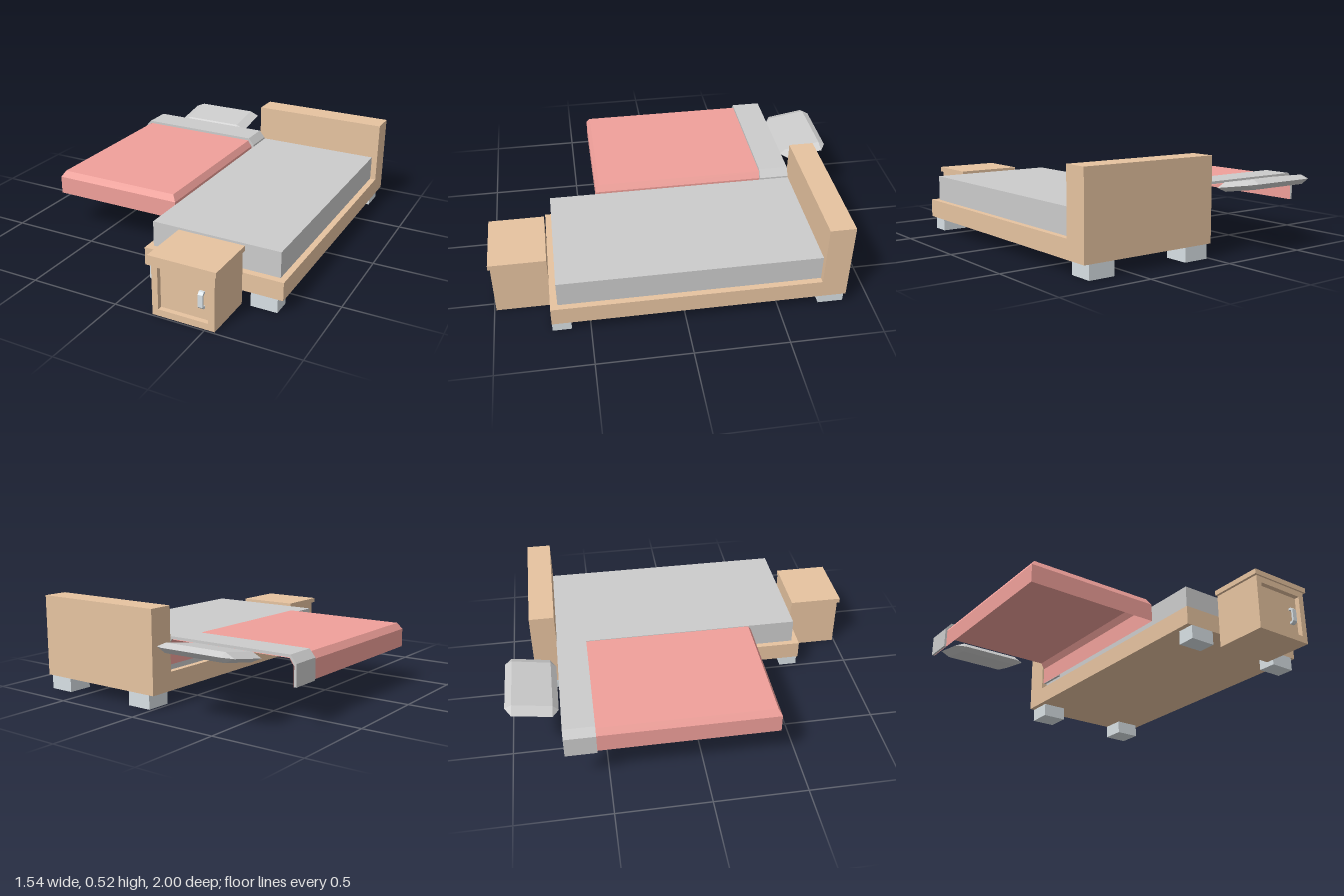
import * as THREE from 'three';
import { ConvexGeometry } from 'three/addons/geometries/ConvexGeometry.js';

const material = (color, side = THREE.FrontSide) =>
  new THREE.MeshStandardMaterial({ color, side, flatShading: true });
const wood = material(0xe6c3a0);
const metal = material(0xd8e0e4);
const grey = material(0xcccccc);
const pink = material(0xf0a09a, THREE.DoubleSide);

function add(parent, name, geometry, mat) {
  const mesh = new THREE.Mesh(geometry, mat);
  mesh.name = name;
  parent.add(mesh);
  return mesh;
}

// Box given by its minimum and maximum on each axis
function box(parent, name, mat, [x0, x1], [y0, y1], [z0, z1]) {
  const mesh = add(parent, name, new THREE.BoxGeometry(x1 - x0, y1 - y0, z1 - z0), mat);
  mesh.position.set((x0 + x1) / 2, (y0 + y1) / 2, (z0 + z1) / 2);
  return mesh;
}

const polygon = (points) => new THREE.Shape(points.map(([x, y]) => new THREE.Vector2(x, y)));
const extrude = (shape, depth) => new THREE.ExtrudeGeometry(shape, { depth, bevelEnabled: false });

// Open cover with chamfered top edges: no bottom and no back
function coverGeometry(zBack) {
  const ring = (xl, xr, y, zf) => [[xl, y, zBack], [xl, y, zf], [xr, y, zf], [xr, y, zBack]];
  const rings = [ring(-0.76, 0, 0.21, 0.4), ring(-0.76, 0, 0.31, 0.4), ring(-0.737, -0.022, 0.345, 0.38)];
  const positions = [];
  const quad = (a, b, c, d) => positions.push(...a, ...b, ...c, ...a, ...c, ...d);
  for (let r = 0; r < 2; r++) {
    for (let i = 0; i < 3; i++) quad(rings[r][i], rings[r][i + 1], rings[r + 1][i + 1], rings[r + 1][i]);
  }
  quad(...rings[2]);
  const geometry = new THREE.BufferGeometry();
  geometry.setAttribute('position', new THREE.Float32BufferAttribute(positions, 3));
  geometry.computeVertexNormals();
  return geometry;
}

// Cushion with chamfered edges and corners
function pillowGeometry(xi, xo, zi, zo, h) {
  const points = [];
  for (const sx of [-1, 1]) {
    for (const sz of [-1, 1]) {
      points.push(
        new THREE.Vector3(sx * xi, h, sz * zi), new THREE.Vector3(sx * xi, -h, sz * zi),
        new THREE.Vector3(sx * xo, 0, sz * zi), new THREE.Vector3(sx * xi, 0, sz * zo));
    }
  }
  return new ConvexGeometry(points);
}

export function createModel() {
  const model = new THREE.Group();
  model.name = 'bedroomSet';

  // Bed: frame, headboard, mattress and four feet
  const bed = new THREE.Group();
  bed.name = 'bed';
  model.add(bed);
  box(bed, 'bedFrame', wood, [-0.01, 0.77], [0.075, 0.175], [-0.72, 0.7]);
  box(bed, 'headboard', wood, [-0.01, 0.77], [0.075, 0.52], [-0.857, -0.72]);
  box(bed, 'mattress', grey, [0.022, 0.737], [0.175, 0.315], [-0.72, 0.662]);
  for (const x of [[0.018, 0.16], [0.598, 0.742]]) {
    box(bed, 'frontFoot', metal, x, [0, 0.075], [0.6, 0.7]);
    box(bed, 'backFoot', metal, x, [0, 0.075], [-0.857, -0.72]);
  }

  // Nightstand: carcass, raised door surround, top and handle
  const nightstand = new THREE.Group();
  nightstand.name = 'nightstand';
  model.add(nightstand);
  box(nightstand, 'cabinet', wood, [0.21, 0.55], [0, 0.297], [0.7, 0.963]);
  box(nightstand, 'cabinetTop', wood, [0.195, 0.562], [0.297, 0.325], [0.7, 1]);
  const surround = polygon([[0.21, 0], [0.55, 0], [0.55, 0.297], [0.21, 0.297]]);
  surround.holes.push(polygon([[0.243, 0.036], [0.243, 0.264], [0.516, 0.264], [0.516, 0.036]]));
  add(nightstand, 'doorSurround', extrude(surround, 0.027), wood).position.z = 0.963;
  const bracket = polygon([
    [0, 0.1], [0.014, 0.1], [0.026, 0.112], [0.026, 0.178], [0.014, 0.19], [0, 0.19],
    [0, 0.178], [0.01, 0.178], [0.016, 0.172], [0.016, 0.118], [0.01, 0.112], [0, 0.112]]);
  const handle = add(nightstand, 'doorHandle', extrude(bracket, 0.027), metal);
  handle.rotation.y = -Math.PI / 2;
  handle.position.set(0.486, 0, 0.963);

  // Bedding: cover, folded sheet band around it, tilted pillow
  const bedding = new THREE.Group();
  bedding.name = 'bedding';
  model.add(bedding);
  add(bedding, 'blanket', coverGeometry(-0.72), pink);
  const band = polygon([
    [-0.775, 0.21], [-0.763, 0.21], [-0.763, 0.312], [-0.738, 0.348], [-0.02, 0.348], [0.003, 0.312],
    [0.003, 0.21], [0.018, 0.21], [0.018, 0.322], [-0.016, 0.362], [-0.741, 0.362], [-0.775, 0.322]]);
  add(bedding, 'foldedSheet', extrude(band, 0.165), grey).position.z = -0.72;
  const pillow = add(bedding, 'pillow', pillowGeometry(0.178, 0.233, 0.104, 0.137, 0.025), grey);
  pillow.position.set(-0.377, 0.351, -0.865);
  pillow.rotation.x = 0.167;

  return model;
}
